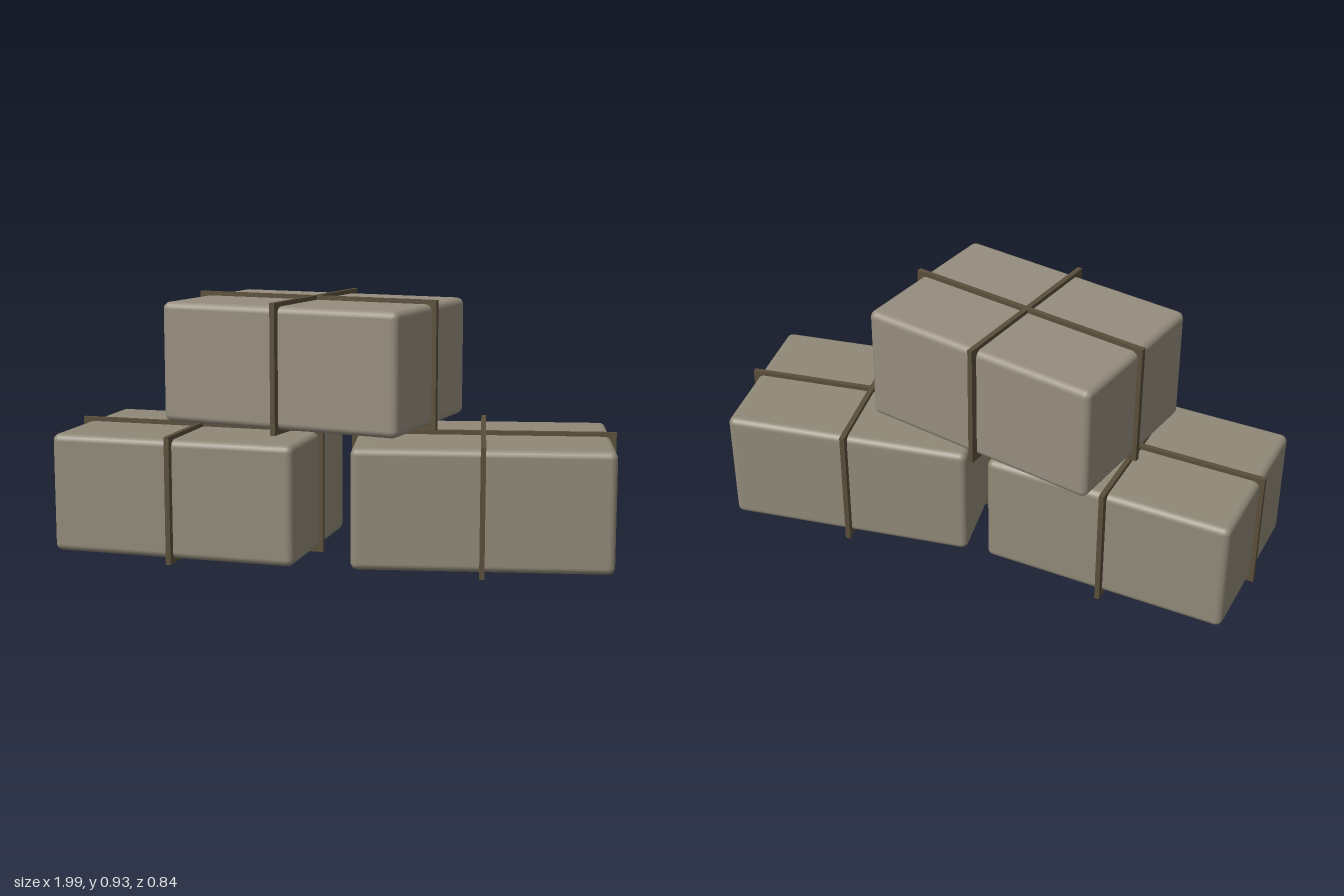
import * as THREE from 'three';
import { RoundedBoxGeometry } from 'three/addons/geometries/RoundedBoxGeometry.js';

const material = (name, color) => {
  const m = new THREE.MeshStandardMaterial({ color });
  m.name = name;
  return m;
};

// Closed rectangular band in the xy plane, centred on the origin
function bandGeometry(width, height, thickness, depth) {
  const rect = (T, w, h) => new T([
    new THREE.Vector2(-w, -h), new THREE.Vector2(w, -h),
    new THREE.Vector2(w, h), new THREE.Vector2(-w, h),
  ]);
  const shape = rect(THREE.Shape, width / 2, height / 2);
  shape.holes.push(rect(THREE.Path, width / 2 - thickness, height / 2 - thickness));
  const g = new THREE.ExtrudeGeometry(shape, { depth, bevelEnabled: false });
  return g.translate(0, 0, -depth / 2);
}

export function createModel() {
  const model = new THREE.Group();
  model.name = 'baleStack';

  const lowerCloth = material('lower bale cloth', 0x908978);
  const upperCloth = material('upper bale cloth', 0x968d7e);
  const strapBrown = material('strap brown', 0x5a4e3a);

  const baleGeometry = new RoundedBoxGeometry(0.9, 0.425, 0.63, 3, 0.025);
  const longBand = bandGeometry(0.934, 0.455, 0.04, 0.018);
  const crossBand = bandGeometry(0.68, 0.455, 0.04, 0.018).rotateY(Math.PI / 2);

  // A wrapped bale: body with one strap along it and one across it
  const addBale = (name, cloth, x, y, z, turn) => {
    const bale = new THREE.Group();
    bale.name = name;
    const parts = [
      ['baleBody', baleGeometry, cloth],
      ['longStrap', longBand, strapBrown],
      ['crossStrap', crossBand, strapBrown],
    ];
    for (const [partName, geometry, mat] of parts) {
      const mesh = new THREE.Mesh(geometry, mat);
      mesh.name = partName;
      bale.add(mesh);
    }
    bale.position.set(x, y, z);
    bale.rotation.y = turn;
    model.add(bale);
  };

  addBale('lowerRightBale', lowerCloth, -0.532, 0.2275, 0.08, 0);
  addBale('lowerLeftBale', lowerCloth, 0.496, 0.2275, -0.026, 0.2);
  addBale('upperBale', upperCloth, -0.107, 0.698, 0.037, -0.15);

  return model;
}
